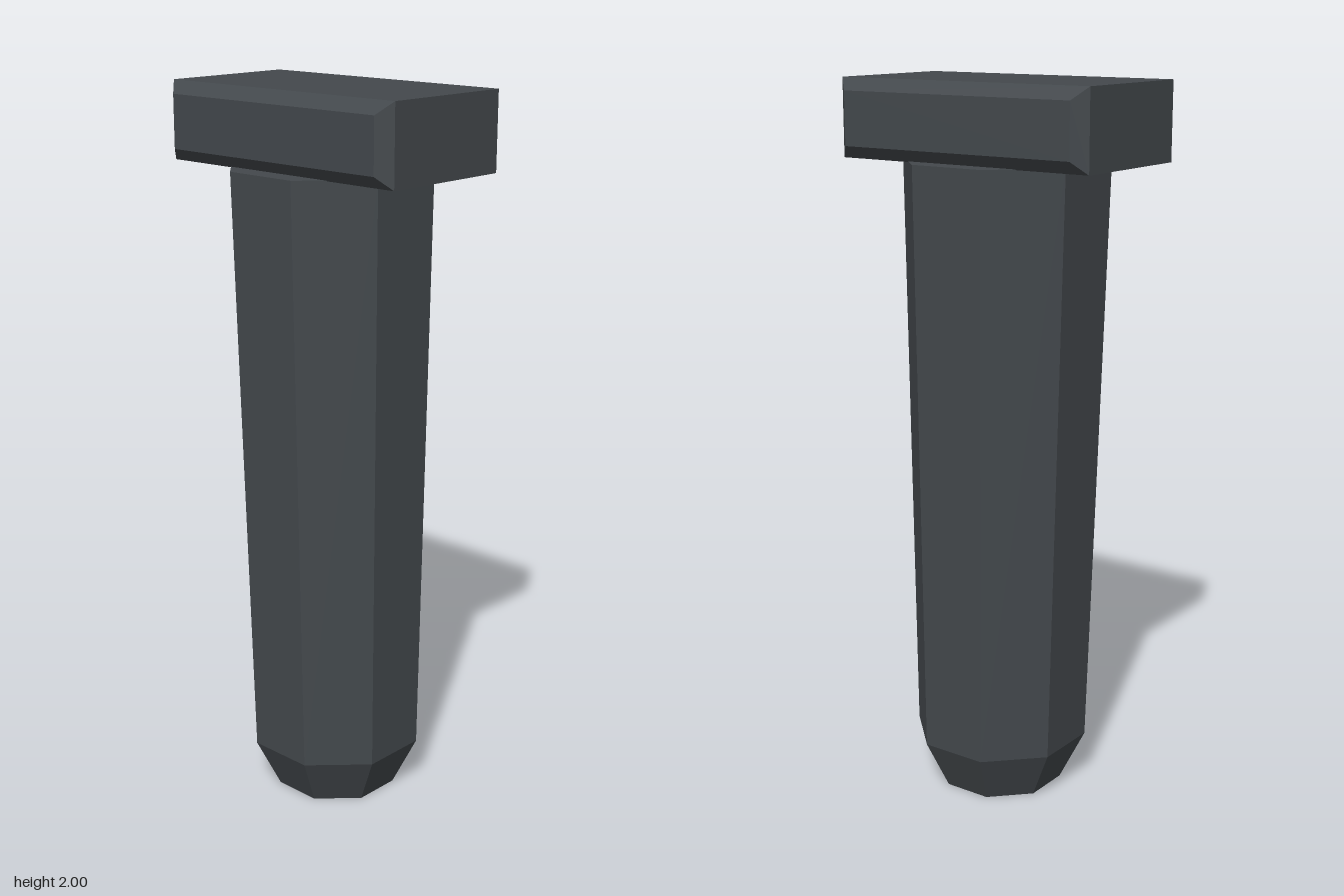
import * as THREE from 'three';

// Faceted solid through a stack of rings, each counter-clockwise seen from the stack's end
function loft(rings) {
  const pos = [];
  const tri = (...pts) => pts.forEach((p) => pos.push(...p));
  const n = rings[0].length;
  for (let r = 0; r < rings.length - 1; r++) {
    const a = rings[r], b = rings[r + 1];
    for (let i = 0; i < n; i++) {
      const j = (i + 1) % n;
      tri(a[i], a[j], b[j]);
      tri(a[i], b[j], b[i]);
    }
  }
  const first = rings[0], last = rings[rings.length - 1];
  for (let i = 1; i < n - 1; i++) {
    tri(first[0], first[i + 1], first[i]);
    tri(last[0], last[i], last[i + 1]);
  }
  const geometry = new THREE.BufferGeometry();
  geometry.setAttribute('position', new THREE.Float32BufferAttribute(pos, 3));
  geometry.computeVertexNormals();
  return geometry;
}

// Horizontal octagon with flats on the axes; half = distance from centre to a flat
function octagon(y, half, cx) {
  const radius = half / Math.cos(Math.PI / 8);
  return Array.from({ length: 8 }, (_, i) => {
    const a = Math.PI / 8 + (i * Math.PI) / 4;
    return [cx + radius * Math.cos(a), y, -radius * Math.sin(a)];
  });
}

// Upright rectangle facing z
function rectangle(z, halfWidth, bottom, top) {
  return [
    [-halfWidth, bottom, z], [halfWidth, bottom, z],
    [halfWidth, top, z], [-halfWidth, top, z],
  ];
}

export function createModel() {
  const group = new THREE.Group();
  group.name = 'spike';
  const iron = new THREE.MeshStandardMaterial({ color: 0x43484c });
  iron.name = 'dark iron';

  const add = (name, rings) => {
    const mesh = new THREE.Mesh(loft(rings), iron);
    mesh.name = name;
    group.add(mesh);
  };

  // Slightly leaning, tapered shaft with a blunt tip
  add('shaft', [
    octagon(0, 0.164, 0.017),
    octagon(0.145, 0.23, 0.016),
    octagon(1.79, 0.263, -0.002),
  ]);

  // Crossbar head, bevelled on its front and back
  add('head', [
    rectangle(-0.233, 0.357, 1.822, 1.967),
    rectangle(-0.198, 0.392, 1.788, 2),
    rectangle(0.198, 0.392, 1.788, 2),
    rectangle(0.233, 0.357, 1.822, 1.967),
  ]);

  return group;
}
